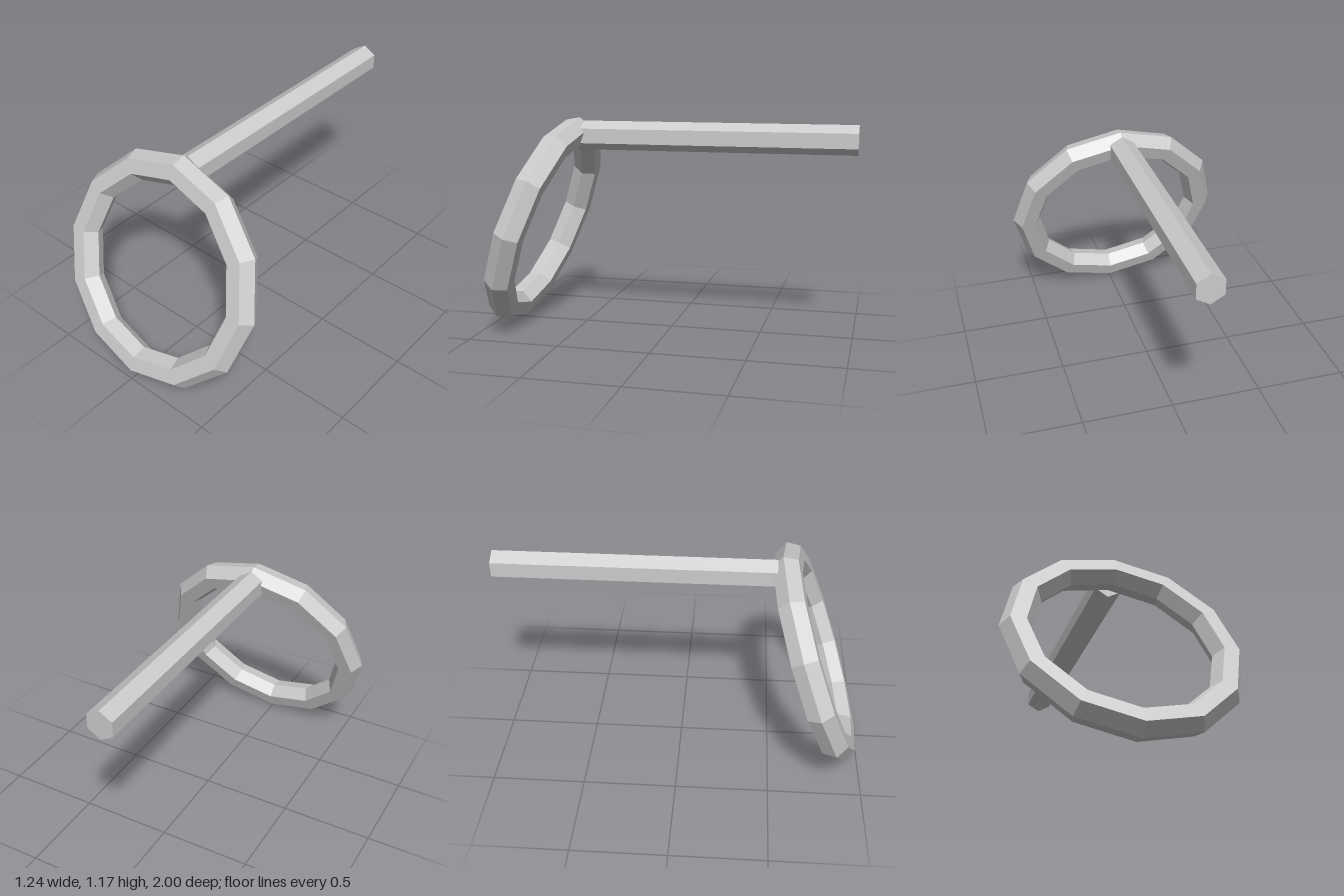
import * as THREE from 'three';

const TUBE = 0.08; // shared hexagonal section radius

export function createModel() {
  const group = new THREE.Group();
  const material = new THREE.MeshStandardMaterial({ color: 0xcccccc, flatShading: true });

  // twelve-sided ring, leaning back at the top
  const ring = new THREE.Mesh(new THREE.TorusGeometry(0.54, TUBE, 6, 12), material);
  ring.name = 'ring';
  ring.rotation.x = THREE.MathUtils.degToRad(-20);
  ring.position.set(0, 0.585, 0.737);

  // hexagonal rod running back from the top of the ring
  const rod = new THREE.Mesh(new THREE.CylinderGeometry(TUBE, TUBE, 1.5, 6), material);
  rod.name = 'rod';
  rod.rotation.x = Math.PI / 2;
  rod.position.set(0, 1.07, -0.25);

  group.add(ring, rod);
  return group;
}
